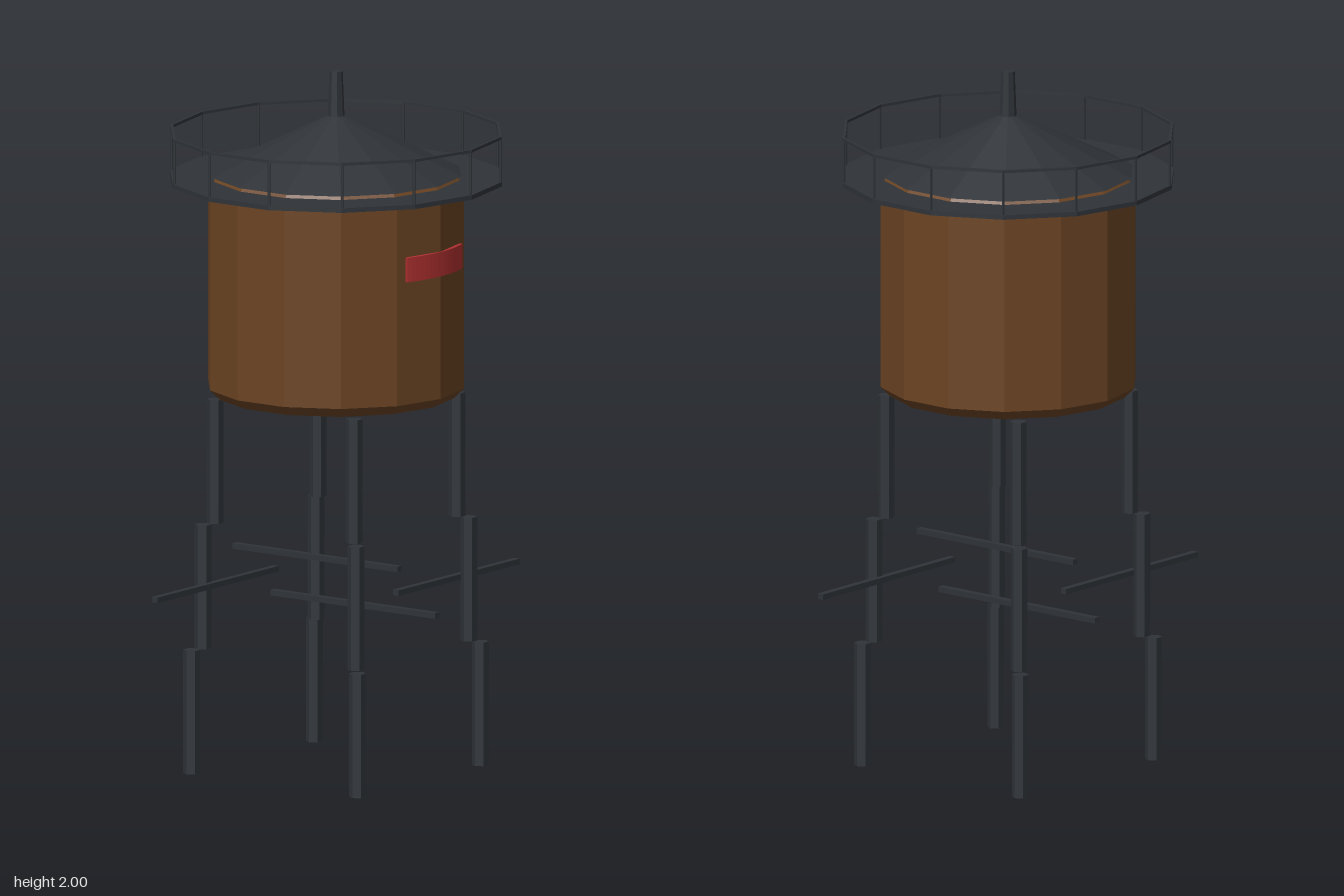
import * as THREE from 'three';

const SIDES = 14;
const paint = (color) =>
  new THREE.MeshStandardMaterial({ color, flatShading: true, side: THREE.DoubleSide });

export function createModel() {
  const model = new THREE.Group();
  const wood = paint(0x6b4423);
  const iron = paint(0x2f3338);
  const red = paint(0xb03030);

  const add = (name, geometry, material, x = 0, y = 0, z = 0, parent = model) => {
    const mesh = new THREE.Mesh(geometry, material);
    mesh.name = name;
    mesh.position.set(x, y, z);
    parent.add(mesh);
    return mesh;
  };
  const group = (name) => {
    const g = new THREE.Group();
    g.name = name;
    model.add(g);
    return g;
  };
  // Faceted drum with a corner on the x axis
  const drum = (top, bottom, height) =>
    new THREE.CylinderGeometry(top, bottom, height, SIDES, 1, false, Math.PI / 2);

  // Tank: closed profile with chamfered rims
  const profile = [[0, 1.075], [0.338, 1.075], [0.366, 1.103], [0.366, 1.685], [0.345, 1.71], [0, 1.71]]
    .map(([r, y]) => new THREE.Vector2(r, y));
  add('tank', new THREE.LatheGeometry(profile, SIDES, Math.PI / 2), wood);

  // Walkway, conical roof and finial
  add('walkway', drum(0.475, 0.475, 0.013), iron, 0, 1.693, 0);
  add('roof', drum(0.004, 0.358, 0.172), iron, 0, 1.796, 0);
  add('finial', new THREE.CylinderGeometry(0.019, 0.025, 0.15, 8), iron, 0, 1.925, 0);

  // Railing: a post on each walkway corner and a bar between each pair
  const railing = group('railing');
  const R = 0.47;
  const barLength = 2 * R * Math.sin(Math.PI / SIDES);
  for (let i = 0; i < SIDES; i++) {
    const a = (i / SIDES) * Math.PI * 2;
    const mid = a + Math.PI / SIDES;
    const inner = R * Math.cos(Math.PI / SIDES);
    add('railPost', new THREE.CylinderGeometry(0.004, 0.004, 0.13, 5), iron,
      R * Math.cos(a), 1.762, R * Math.sin(a), railing);
    const bar = add('handrail', new THREE.BoxGeometry(0.008, 0.008, barLength), iron,
      inner * Math.cos(mid), 1.825, inner * Math.sin(mid), railing);
    bar.rotation.y = -mid;
  }

  // Legs: three stepped lengths at each corner, spreading towards the ground
  const legs = group('legs');
  const legGeometry = new THREE.CylinderGeometry(0.024, 0.024, 0.354, 6);
  for (const sx of [-1, 1]) {
    for (const sz of [-1, 1]) {
      [0.29, 0.267, 0.243].forEach((d, i) =>
        add('legSection', legGeometry, iron, sx * d, 0.177 + i * 0.358, sz * d, legs));
    }
  }

  // Braces: one level bar at each corner, turned a quarter each time
  const braces = group('braces');
  for (let i = 0; i < 4; i++) {
    const pivot = new THREE.Group();
    pivot.name = 'bracePivot';
    pivot.rotation.y = (i * Math.PI) / 2;
    braces.add(pivot);
    add('brace', new THREE.BoxGeometry(0.575, 0.016, 0.02), iron, 0.244, 0.54, 0.241, pivot);
  }

  // Curved sign plate on the side of the tank
  const half = 0.36;
  const arc = new THREE.Shape();
  arc.absarc(0, 0, 0.369, -half, half, false);
  arc.absarc(0, 0, 0.325, half, -half, true);
  const plate = new THREE.ExtrudeGeometry(arc, { depth: 0.07, bevelEnabled: false, curveSegments: 8 });
  plate.rotateX(-Math.PI / 2);
  add('signPlate', plate, red, 0, 1.455, 0);

  return model;
}
